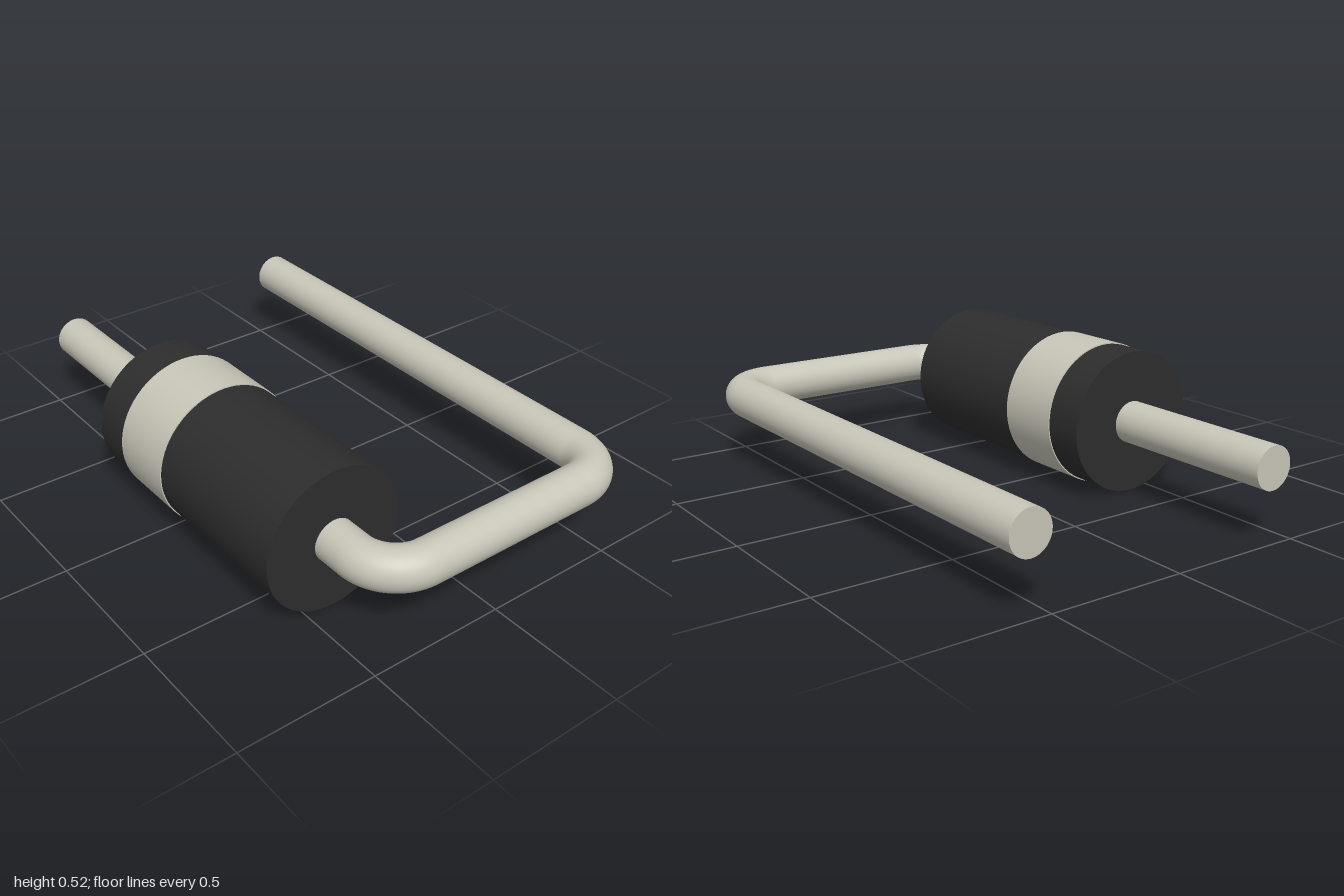
import * as THREE from 'three';

export function createModel() {
  const model = new THREE.Group();
  const black = new THREE.MeshStandardMaterial({ color: 0x2d2d2d });
  black.name = 'black plastic';
  const metal = new THREE.MeshStandardMaterial({ color: 0xc8c6b8 });
  metal.name = 'pale metal';

  const Y = 0.262, LEFT = 0.577, RIGHT = -0.398; // axes of the two legs
  const WIRE = 0.076, BEND = 0.155, FRONT = 0.924;
  const bendZ = FRONT - BEND;

  function add(name, geometry, material, x, y, z) {
    const mesh = new THREE.Mesh(geometry, material);
    mesh.name = name;
    mesh.position.set(x, y, z);
    model.add(mesh);
    return mesh;
  }

  // Cylinder along z between two depths
  function rod(name, radius, x, z0, z1, material, open = false) {
    const g = new THREE.CylinderGeometry(radius, radius, z1 - z0, 64, 1, open);
    g.rotateX(Math.PI / 2);
    return add(name, g, material, x, Y, (z0 + z1) / 2);
  }

  // Body with its slightly raised polarity band
  rod('body', 0.258, RIGHT, -0.33, 0.67, black);
  rod('band', 0.262, RIGHT, -0.18, 0.07, metal);

  // Straight legs
  rod('shortLeadBack', WIRE, RIGHT, -1, -0.33, metal);
  rod('shortLeadFront', WIRE, RIGHT, 0.67, bendZ, metal, true);
  rod('longLead', WIRE, LEFT, -1, bendZ, metal);

  // Crossing wire at the front
  const x0 = RIGHT + BEND, x1 = LEFT - BEND;
  const cross = new THREE.CylinderGeometry(WIRE, WIRE, x1 - x0, 64, 1, true);
  cross.rotateZ(Math.PI / 2);
  add('crossLead', cross, metal, (x0 + x1) / 2, Y, FRONT);

  // Quarter bends
  for (const [name, x, turn] of [['leftBend', x1, 0], ['rightBend', x0, Math.PI / 2]]) {
    const g = new THREE.TorusGeometry(BEND, WIRE, 64, 24, Math.PI / 2);
    g.rotateZ(turn);
    g.rotateX(Math.PI / 2);
    add(name, g, metal, x, Y, bendZ);
  }

  return model;
}
